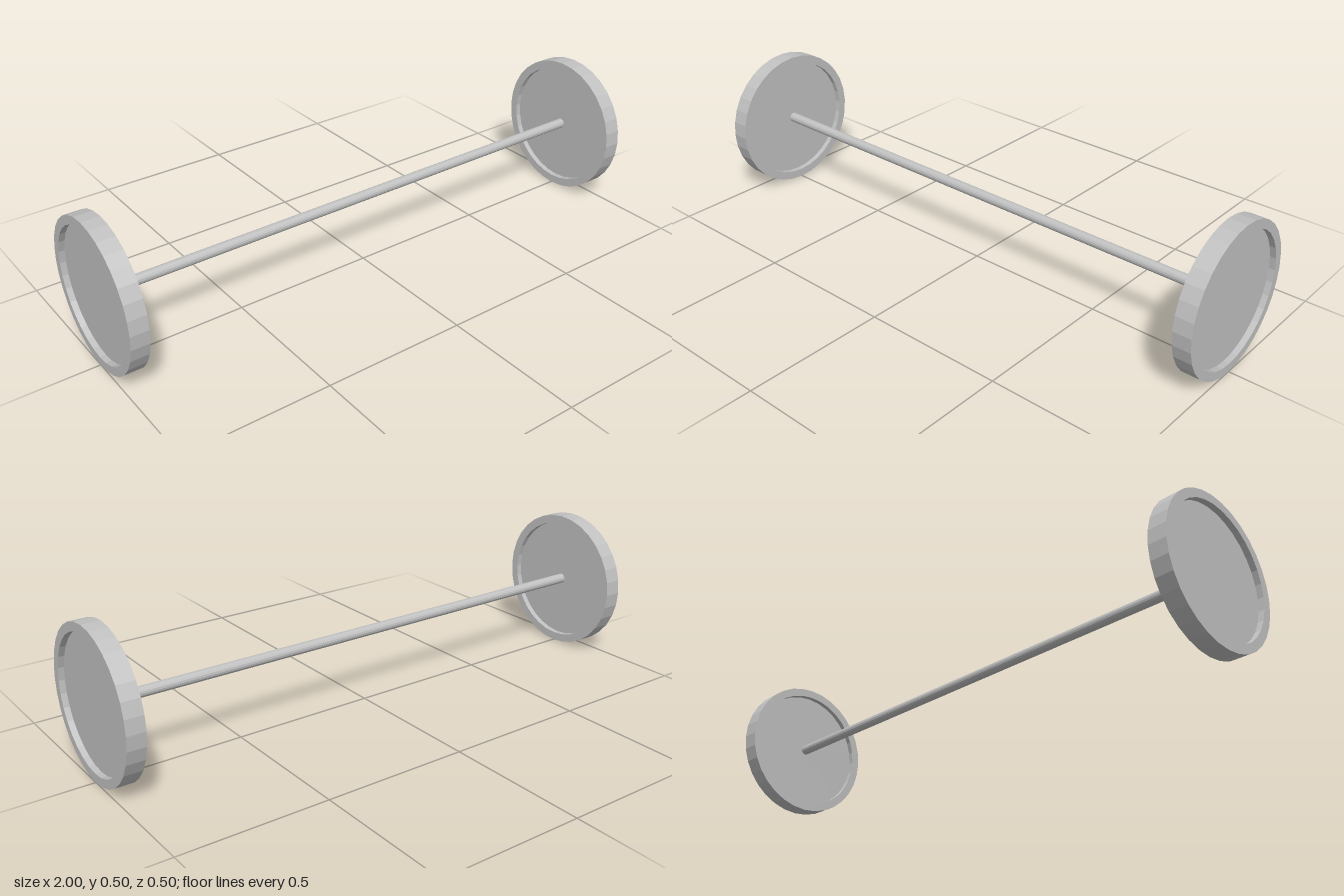
import * as THREE from 'three';

export function createModel() {
  const model = new THREE.Group();
  model.name = 'wheelAxle';
  const steel = new THREE.MeshStandardMaterial({ color: 0xc0c0c0, flatShading: true });
  steel.name = 'grey steel';

  const radius = 0.252, rimInner = 0.222;
  const halfWidth = 0.031, halfDisc = 0.011; // rim stands proud of the disc on both sides
  const wheelX = 1 - halfWidth;

  // Wheel: flat disc with a raised rim, spun from half its cross-section
  const profile = [
    [0, -halfDisc], [rimInner, -halfDisc], [rimInner, -halfWidth], [radius, -halfWidth],
    [radius, halfWidth], [rimInner, halfWidth], [rimInner, halfDisc], [0, halfDisc],
  ].map(([r, y]) => new THREE.Vector2(r, y));
  const wheelGeometry = new THREE.LatheGeometry(profile, 32).rotateZ(Math.PI / 2);
  for (const [name, side] of [['leftWheel', 1], ['rightWheel', -1]]) {
    const wheel = new THREE.Mesh(wheelGeometry, steel);
    wheel.name = name;
    wheel.position.set(side * wheelX, radius, 0);
    model.add(wheel);
  }

  // Axle: thin rod joining the two discs
  const axleGeometry = new THREE.CylinderGeometry(0.018, 0.018, 2 * (wheelX - halfDisc), 16, 1, true);
  const axle = new THREE.Mesh(axleGeometry.rotateZ(Math.PI / 2), steel);
  axle.name = 'axle';
  axle.position.y = radius;
  model.add(axle);

  return model;
}
